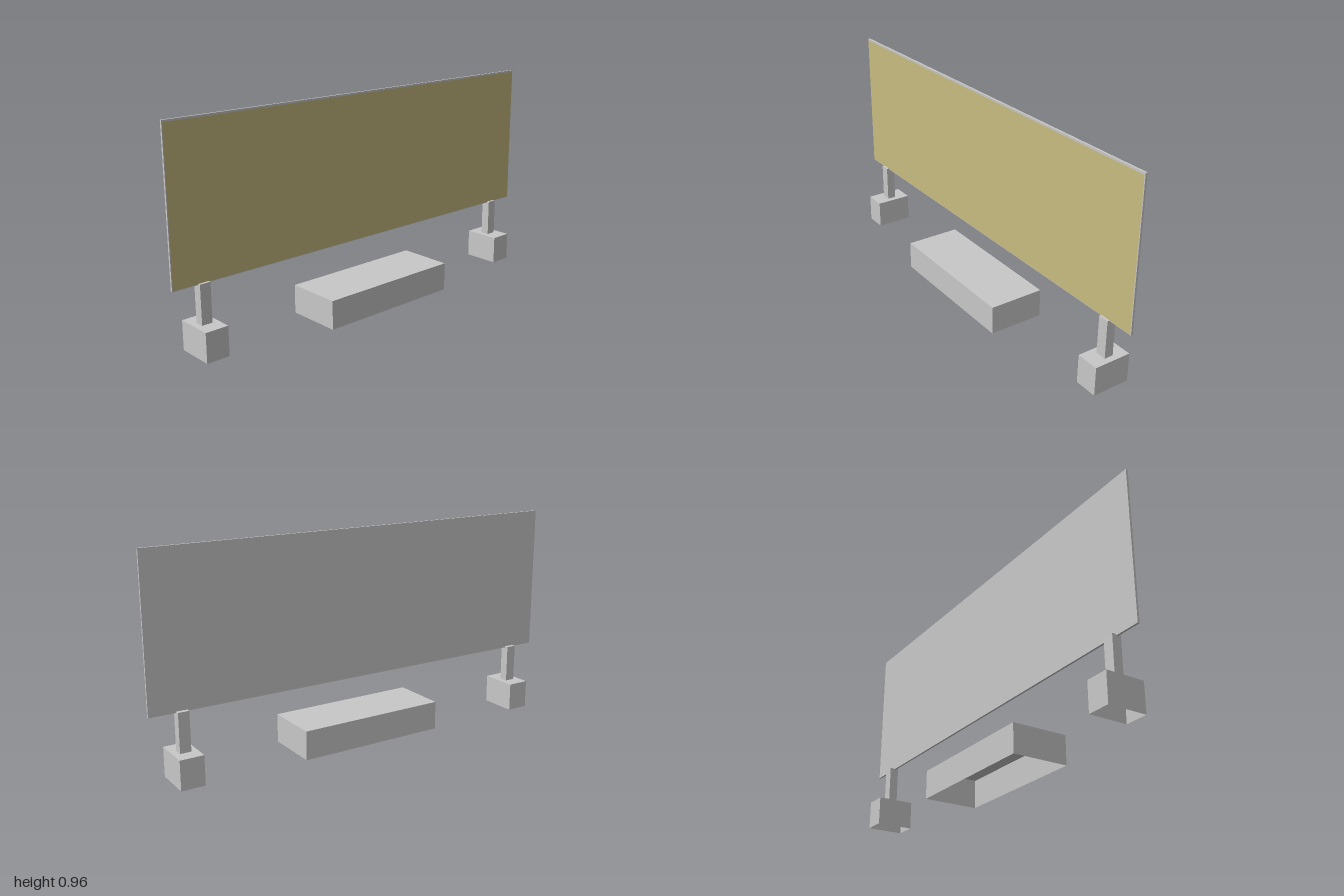
import * as THREE from 'three';

const grey = new THREE.MeshStandardMaterial({ color: 0xc8c8c8, side: THREE.DoubleSide });
grey.name = 'concrete grey';
const tan = new THREE.MeshStandardMaterial({ color: 0xc8bc80 });
tan.name = 'sign face tan';

// Box given by its limits on each axis
function box(name, material, [x0, x1], [y0, y1], [z0, z1]) {
  const geometry = new THREE.BoxGeometry(x1 - x0, y1 - y0, z1 - z0);
  geometry.translate((x0 + x1) / 2, (y0 + y1) / 2, (z0 + z1) / 2);
  const mesh = new THREE.Mesh(geometry, material);
  mesh.name = name;
  return mesh;
}

// Hollow block: a box without its bottom face
function openBox(...args) {
  const mesh = box(...args);
  const index = Array.from(mesh.geometry.index.array);
  index.splice(18, 6);
  mesh.geometry.setIndex(index);
  mesh.geometry.clearGroups();
  return mesh;
}

export function createModel() {
  const model = new THREE.Group();
  model.name = 'billboard';

  // Sign board with a thin painted face on the front
  model.add(box('board', grey, [-1, 1], [0.297, 0.96], [-0.047, -0.038]));
  const face = new THREE.Mesh(new THREE.PlaneGeometry(1.994, 0.652), tan);
  face.name = 'signFace';
  face.position.set(0, 0.626, -0.0365);
  model.add(face);

  // Post and footing at each end
  for (const side of [-1, 1]) {
    const support = new THREE.Group();
    support.name = side > 0 ? 'leftSupport' : 'rightSupport';
    support.add(
      openBox('footing', grey, [-0.052, 0.052], [0, 0.13], [-0.128, 0.043]),
      box('post', grey, [-0.024, 0.024], [0.13, 0.302], [-0.066, -0.025])
    );
    support.position.x = side * 0.861;
    model.add(support);
  }

  // Low block in the middle
  model.add(openBox('centreBlock', grey, [-0.345, 0.345], [0, 0.13], [-0.128, 0.128]));
  return model;
}
